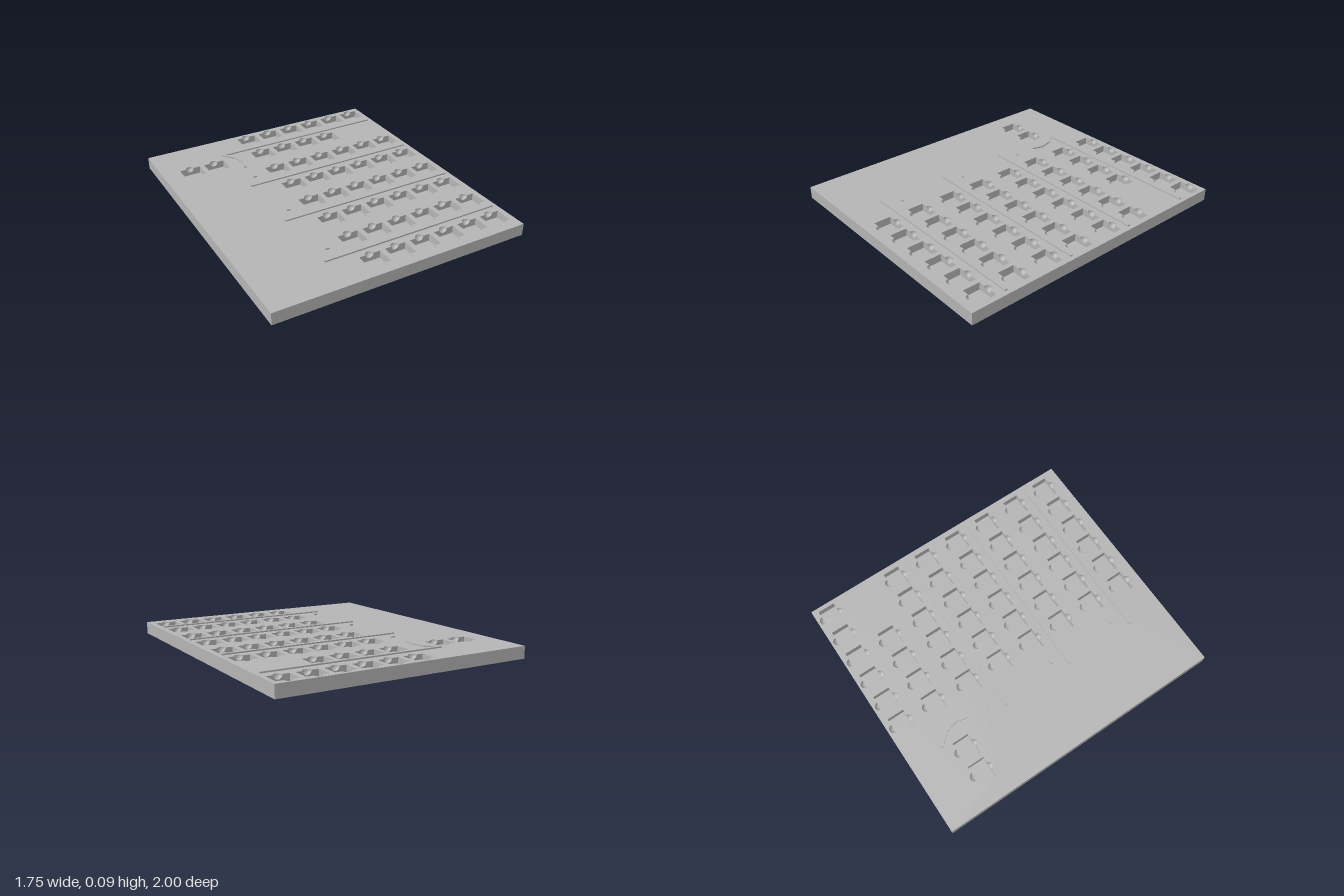
import * as THREE from 'three';
import { mergeGeometries } from 'three/addons/utils/BufferGeometryUtils.js';

const W = 1.755, L = 2, H = 0.082;              // tray slab
const HX = 0.073, HZ = 0.058, DEPTH = 0.05;     // pocket half sizes and depth
const R = 0.028;                                // finger scoop radius
const RIB = 0.009, RIB_W = 0.018;               // raised rib height and width

// Pocket rows: [first x, z, count]
const PITCH = 0.18;
const rows = [[-0.124, -0.9, 6], [-0.124, -0.652, 4], [-0.674, -0.642, 2]];
for (let i = 0; i < 6; i++) rows.push([-0.134, -0.392 + i * 0.25, 6]);

// Outline of a pocket mouth: a rectangle with a half round at each end
function pocketHole(x, y) {
  const p = new THREE.Path();
  p.moveTo(x - HX, y - HZ);
  p.lineTo(x - R, y - HZ);
  p.absarc(x, y - HZ, R, Math.PI, 2 * Math.PI, false);
  p.lineTo(x + HX, y - HZ);
  p.lineTo(x + HX, y + HZ);
  p.lineTo(x + R, y + HZ);
  p.absarc(x, y + HZ, R, 0, Math.PI, false);
  p.lineTo(x - HX, y + HZ);
  p.closePath();
  return p;
}

// Inside of a pocket: floor, side walls, notched end walls and round scoops
function pocketGeometry() {
  const notched = new THREE.Shape();
  notched.moveTo(-HX, 0);
  notched.lineTo(-HX, -DEPTH);
  notched.lineTo(HX, -DEPTH);
  notched.lineTo(HX, 0);
  notched.lineTo(R, 0);
  notched.absarc(0, 0, R, 0, -Math.PI, true);
  const parts = [new THREE.PlaneGeometry(2 * HX, 2 * HZ).rotateX(-Math.PI / 2).translate(0, -DEPTH, 0)];
  for (const turn of [0, Math.PI]) {
    parts.push(
      new THREE.PlaneGeometry(2 * HZ, DEPTH).rotateY(-Math.PI / 2).translate(HX, -DEPTH / 2, 0).rotateY(turn),
      new THREE.ShapeGeometry(notched, 12).rotateY(Math.PI).translate(0, 0, HZ).rotateY(turn),
      new THREE.SphereGeometry(R, 12, 8, 0, Math.PI, Math.PI / 2, Math.PI / 2).translate(0, 0, HZ).rotateY(turn)
    );
  }
  return mergeGeometries(parts);
}

export function createModel() {
  const model = new THREE.Group();
  const grey = new THREE.MeshStandardMaterial({ color: 0xb4b4b4, side: THREE.DoubleSide });
  grey.name = 'grey';
  const add = (name, geometry, x = 0, y = 0, z = 0) => {
    const mesh = new THREE.Mesh(geometry, grey);
    mesh.name = name;
    mesh.position.set(x, y, z);
    model.add(mesh);
  };

  // Slab sides and underside (box without its top face)
  const shell = new THREE.BoxGeometry(W, H, L);
  const index = Array.from(shell.index.array);
  index.splice(12, 6);
  shell.setIndex(index);
  shell.clearGroups();
  add('traySides', shell, 0, H / 2, 0);

  // Top face pierced by the pockets
  const top = new THREE.Shape();
  top.moveTo(-W / 2, -L / 2);
  top.lineTo(W / 2, -L / 2);
  top.lineTo(W / 2, L / 2);
  top.lineTo(-W / 2, L / 2);
  top.closePath();
  const pocket = pocketGeometry();
  for (const [x0, z, count] of rows) {
    for (let i = 0; i < count; i++) {
      const x = x0 + i * PITCH;
      top.holes.push(pocketHole(x, -z));
      add('pocket', pocket, x, H, z);
    }
  }
  add('trayTop', new THREE.ShapeGeometry(top, 12).rotateX(-Math.PI / 2), 0, H, 0);

  // Long raised ribs between rows
  const rib = new THREE.BoxGeometry(1.25, RIB, RIB_W);
  for (let i = 0; i < 4; i++) add('rowRib', rib, 0.222, H + RIB / 2, -0.764 + i * 0.5);

  // Short raised dashes
  const dash = new THREE.BoxGeometry(0.027, RIB, 0.01);
  for (let i = 0; i < 3; i++) add('dash', dash, -0.325, H + RIB / 2, -0.367 + i * 0.5);

  // Bent rib trailing off the rearmost long rib
  const bend = new THREE.Shape([
    [-0.404, 0.757], [-0.336, 0.682], [-0.315, 0.597], [-0.335, 0.523],
    [-0.315, 0.521], [-0.294, 0.597], [-0.318, 0.692], [-0.384, 0.764]
  ].map(([x, y]) => new THREE.Vector2(x, y)));
  add('bentRib', new THREE.ExtrudeGeometry(bend, { depth: RIB, bevelEnabled: false }).rotateX(-Math.PI / 2), 0, H, 0);

  return model;
}
